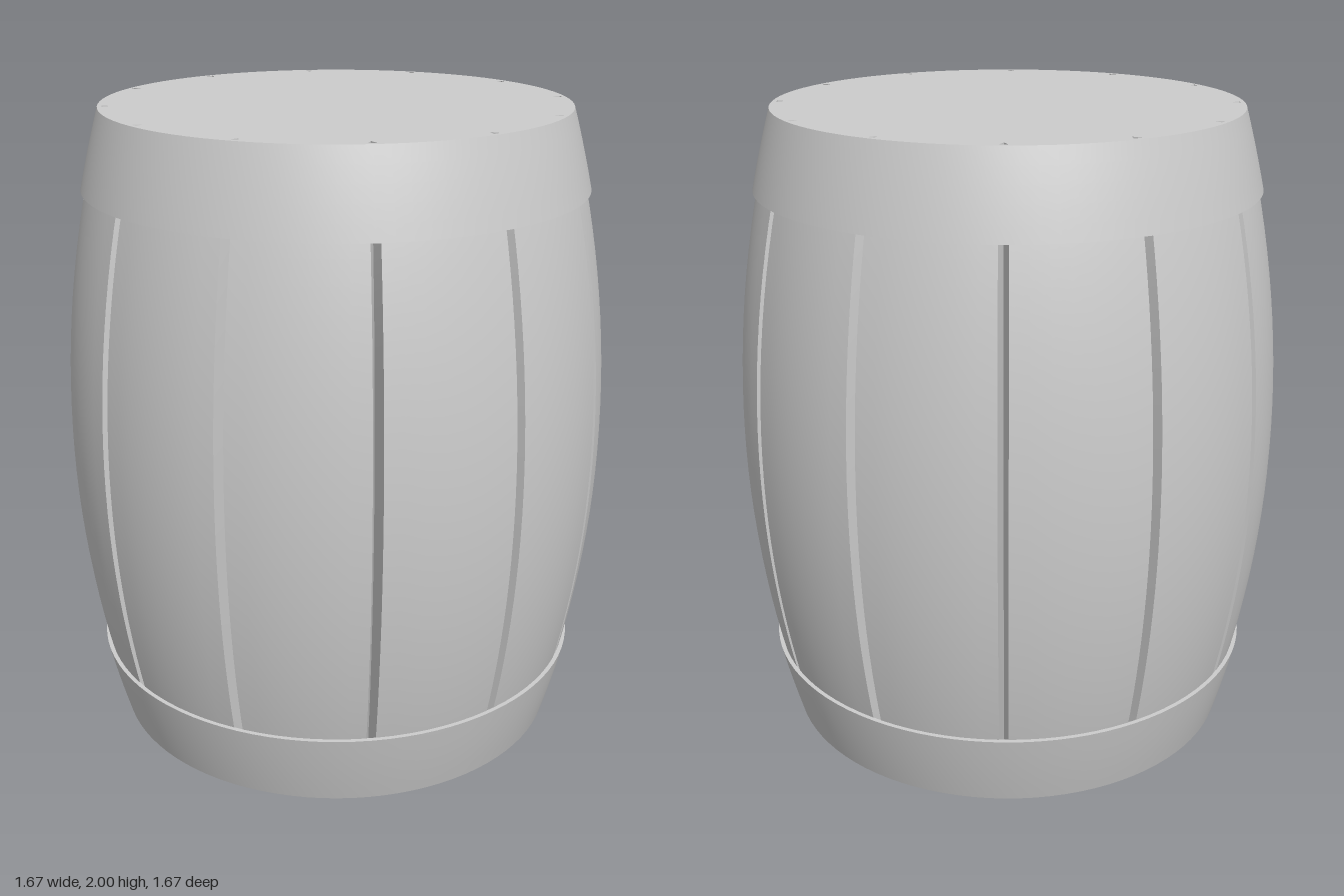
import * as THREE from 'three';
import { toCreasedNormals } from 'three/addons/utils/BufferGeometryUtils.js';

const STAVES = 12, ARC = 7, ROWS = 28;
const Y0 = 0.04, Y1 = 2;

// Bulging barrel radius at height y
const bulge = (y) => 0.837 - 0.147 * (y - 1) ** 2;

// One closed ring of the body: staves separated by V-shaped grooves
function ring(y) {
  const r = bulge(y);
  const swell = 1 - (y - 1) ** 2;
  const depth = 0.03 + 0.035 * swell;
  const half = (0.013 + 0.002 * swell) / r;
  const step = (Math.PI * 2) / STAVES;
  const pts = [];
  for (let s = 0; s < STAVES; s++) {
    const a0 = s * step;
    const add = (a, rad) => pts.push([Math.sin(a) * rad, y, Math.cos(a) * rad]);
    add(a0, r - depth);
    for (let i = 0; i <= ARC; i++) add(a0 + half + (step - 2 * half) * (i / ARC), r);
  }
  return pts;
}

function bodyGeometry() {
  const pos = [], idx = [];
  const n = STAVES * (ARC + 2);
  for (let j = 0; j <= ROWS; j++) {
    for (const p of ring(Y0 + (Y1 - Y0) * (j / ROWS))) pos.push(...p);
  }
  const bottom = pos.length / 3, top = bottom + 1;
  pos.push(0, Y0, 0, 0, Y1, 0);
  for (let i = 0; i < n; i++) {
    const k = (i + 1) % n;
    for (let j = 0; j < ROWS; j++) {
      const a = j * n + i, b = j * n + k, c = a + n, d = b + n;
      idx.push(a, b, d, a, d, c);
    }
    idx.push(bottom, k, i, top, ROWS * n + i, ROWS * n + k);
  }
  const g = new THREE.BufferGeometry();
  g.setAttribute('position', new THREE.Float32BufferAttribute(pos, 3));
  g.setIndex(idx);
  return toCreasedNormals(g, 0.5);
}

// Closed band that follows the bulge between two heights
function hoopGeometry(yLow, yHigh) {
  const outer = [], inner = [];
  for (let i = 0; i <= 5; i++) {
    const y = yLow + (yHigh - yLow) * (i / 5);
    outer.push(new THREE.Vector2(bulge(y) + 0.013, y));
    inner.unshift(new THREE.Vector2(bulge(y) - 0.001, y));
  }
  const profile = [...outer, ...inner, outer[0].clone()];
  return toCreasedNormals(new THREE.LatheGeometry(profile, 96), 0.5);
}

export function createModel() {
  const group = new THREE.Group();
  const material = new THREE.MeshStandardMaterial({ color: 0xcccccc });
  const part = (name, geometry) => {
    const mesh = new THREE.Mesh(geometry, material);
    mesh.name = name;
    group.add(mesh);
    return mesh;
  };

  part('staves', bodyGeometry());
  part('topHoop', hoopGeometry(1.76, 2));
  part('bottomHoop', hoopGeometry(0.04, 0.28));

  // Recessed foot under the barrel
  const foot = part('bottomPlate', new THREE.CylinderGeometry(0.652, 0.645, 0.05, 96));
  foot.position.y = 0.025;

  return group;
}
